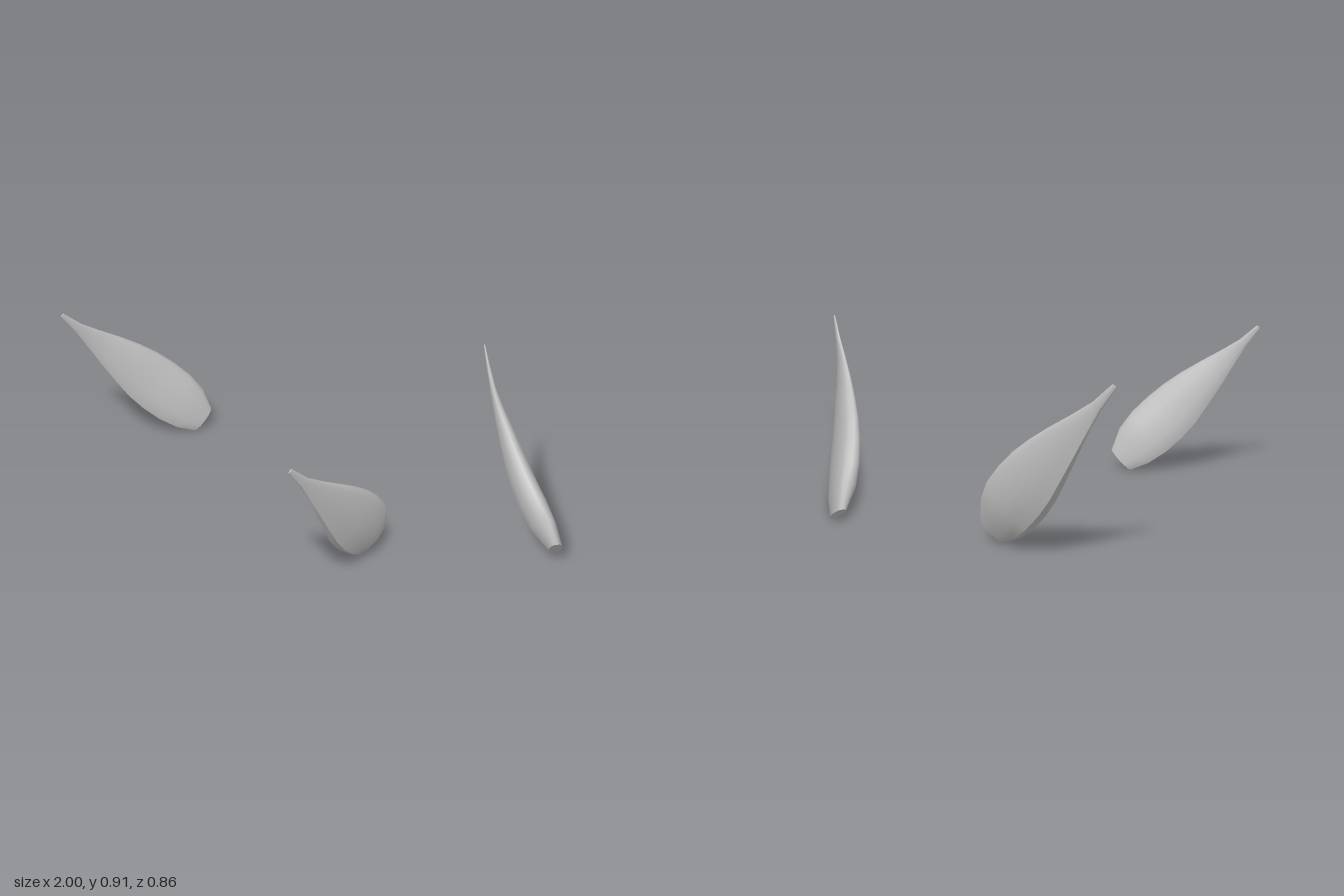
import * as THREE from 'three';
import { toCreasedNormals } from 'three/addons/utils/BufferGeometryUtils.js';

// Sections from the thin tip to the blunt end:
// [upper z, upper y, lower z, lower y, outer x, edge x, inner x]
const SECTIONS = [
  [0.412, 0.91, 0.43, 0.895, 0.999, 0.995, 0.991],
  [0.31, 0.82, 0.35, 0.785, 0.998, 0.988, 0.978],
  [0.20, 0.75, 0.28, 0.665, 0.994, 0.980, 0.962],
  [0.08, 0.68, 0.21, 0.54, 0.989, 0.965, 0.930],
  [-0.04, 0.605, 0.14, 0.42, 0.981, 0.942, 0.892],
  [-0.15, 0.525, 0.07, 0.305, 0.969, 0.916, 0.857],
  [-0.245, 0.44, -0.005, 0.21, 0.951, 0.884, 0.820],
  [-0.33, 0.35, -0.095, 0.12, 0.922, 0.845, 0.780],
  [-0.392, 0.25, -0.19, 0.05, 0.882, 0.798, 0.750],
  [-0.43, 0.12, -0.302, 0.0, 0.803, 0.765, 0.732],
];

// Lens profile: [position from lower to upper edge, side: 1 outer, -1 inner]
const PROFILE = [
  [0, -0.3], [0.05, 0.5], [0.25, 0.82], [0.5, 1], [0.7, 0.92], [0.88, 0.7], [0.97, 0.4],
  [1, 0], [0.97, -0.4], [0.88, -0.7], [0.7, -0.92], [0.5, -1], [0.25, -0.85], [0.1, -0.65],
];

function bladeGeometry(side) {
  const rings = SECTIONS.map(([uz, uy, lz, ly, outer, edge, inner]) =>
    PROFILE.map(([t, f]) => new THREE.Vector3(
      side * (edge + f * (f > 0 ? outer - edge : edge - inner)),
      ly + (uy - ly) * t,
      lz + (uz - lz) * t
    )));
  const pos = [];
  const tri = (a, b, c) => {
    for (const p of side > 0 ? [a, b, c] : [a, c, b]) pos.push(p.x, p.y, p.z);
  };
  const n = PROFILE.length;
  const last = rings.length - 1;
  const centre = (ring) =>
    ring.reduce((sum, p) => sum.add(p), new THREE.Vector3()).divideScalar(n);
  const tip = centre(rings[0]);
  const end = centre(rings[last]);
  for (let j = 0; j < n; j++) {
    const m = (j + 1) % n;
    // skin between neighbouring sections
    for (let k = 0; k < last; k++) {
      tri(rings[k][j], rings[k + 1][j], rings[k][m]);
      tri(rings[k][m], rings[k + 1][j], rings[k + 1][m]);
    }
    // flat caps
    tri(tip, rings[0][j], rings[0][m]);
    tri(end, rings[last][m], rings[last][j]);
  }
  const geo = new THREE.BufferGeometry();
  geo.setAttribute('position', new THREE.Float32BufferAttribute(pos, 3));
  return toCreasedNormals(geo, THREE.MathUtils.degToRad(50));
}

export function createModel() {
  const group = new THREE.Group();
  const grey = new THREE.MeshStandardMaterial({ color: 0xbfbfbf });
  grey.name = 'light grey';
  // mirrored pair of curved blades
  for (const [name, side] of [['leftBlade', 1], ['rightBlade', -1]]) {
    const blade = new THREE.Mesh(bladeGeometry(side), grey);
    blade.name = name;
    group.add(blade);
  }
  return group;
}
